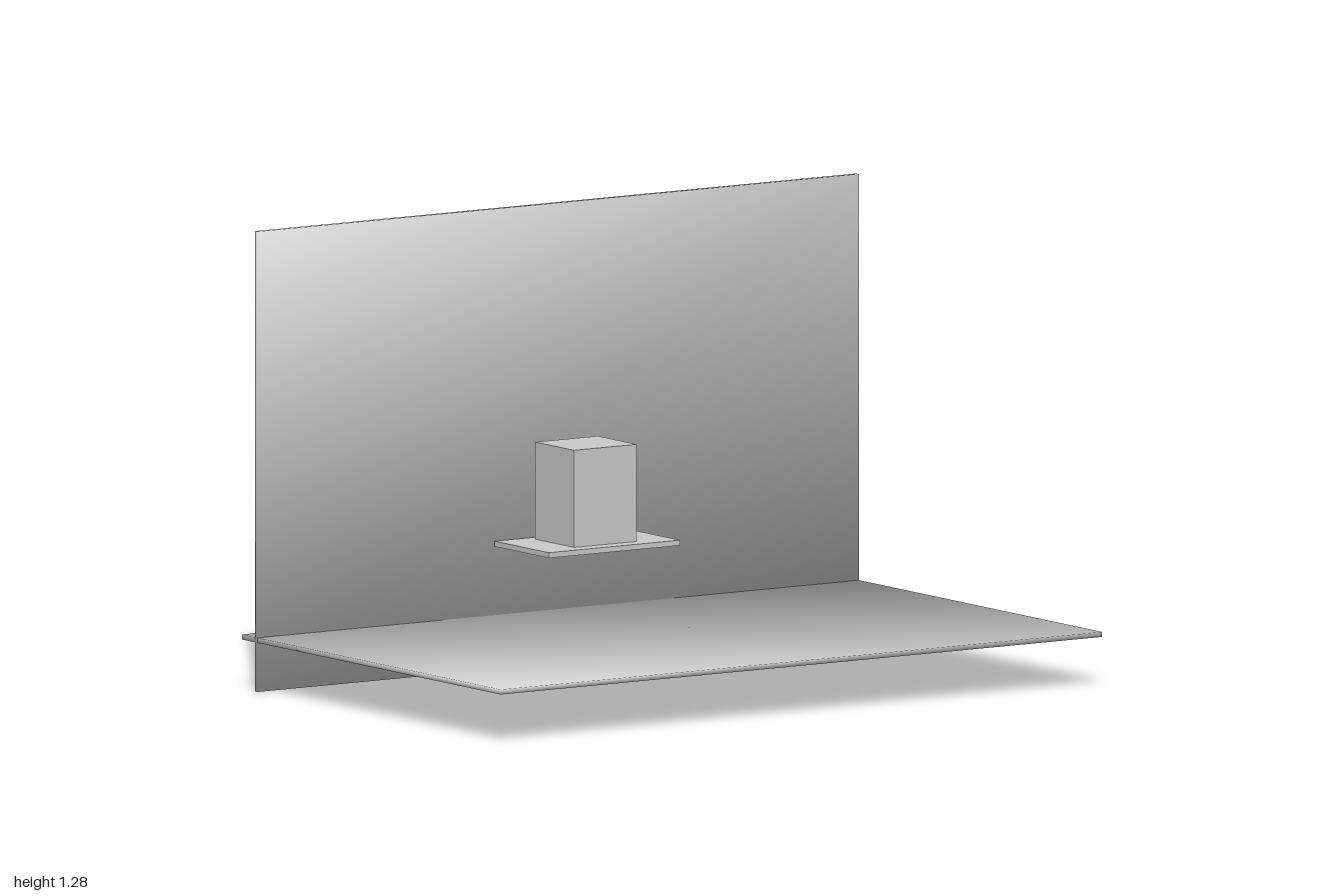
import * as THREE from 'three';

const grey = new THREE.MeshStandardMaterial({ color: 0xcccccc });
grey.name = 'light grey';

// Box given by its limits on each axis
function slab(name, [x0, x1], [y0, y1], [z0, z1], soft = false) {
  const geometry = new THREE.BoxGeometry(x1 - x0, y1 - y0, z1 - z0);
  if (soft) softenCorners(geometry);
  const mesh = new THREE.Mesh(geometry, grey);
  mesh.name = name;
  mesh.position.set((x0 + x1) / 2, (y0 + y1) / 2, (z0 + z1) / 2);
  return mesh;
}

// Point each corner normal diagonally outward, for smooth shading over the edges
function softenCorners(geometry) {
  const { position, normal } = geometry.attributes;
  const n = new THREE.Vector3();
  for (let i = 0; i < position.count; i++) {
    n.fromBufferAttribute(position, i);
    n.set(Math.sign(n.x), Math.sign(n.y), Math.sign(n.z)).normalize();
    normal.setXYZ(i, n.x, n.y, n.z);
  }
}

export function createModel() {
  const model = new THREE.Group();
  model.name = 'wallShelf';

  // Large smooth-shaded panels that cross near the back
  model.add(slab('floor', [-1, 1], [0.137, 0.151], [-0.641, 0.641], true));
  model.add(slab('wall', [-1, 1], [0, 1.284], [-0.577, -0.563], true));

  // Small shelf standing just clear of the wall
  model.add(slab('shelf', [-0.218, 0.218], [0.344, 0.359], [-0.554, -0.285]));

  // Row of upright books, side by side
  const books = new THREE.Group();
  books.name = 'books';
  const count = 9, left = -0.104, thickness = 0.208 / count;
  for (let i = 0; i < count; i++) {
    const x = left + i * thickness;
    books.add(slab('book', [x, x + thickness], [0.359, 0.63], [-0.523, -0.33]));
  }
  model.add(books);
  return model;
}
